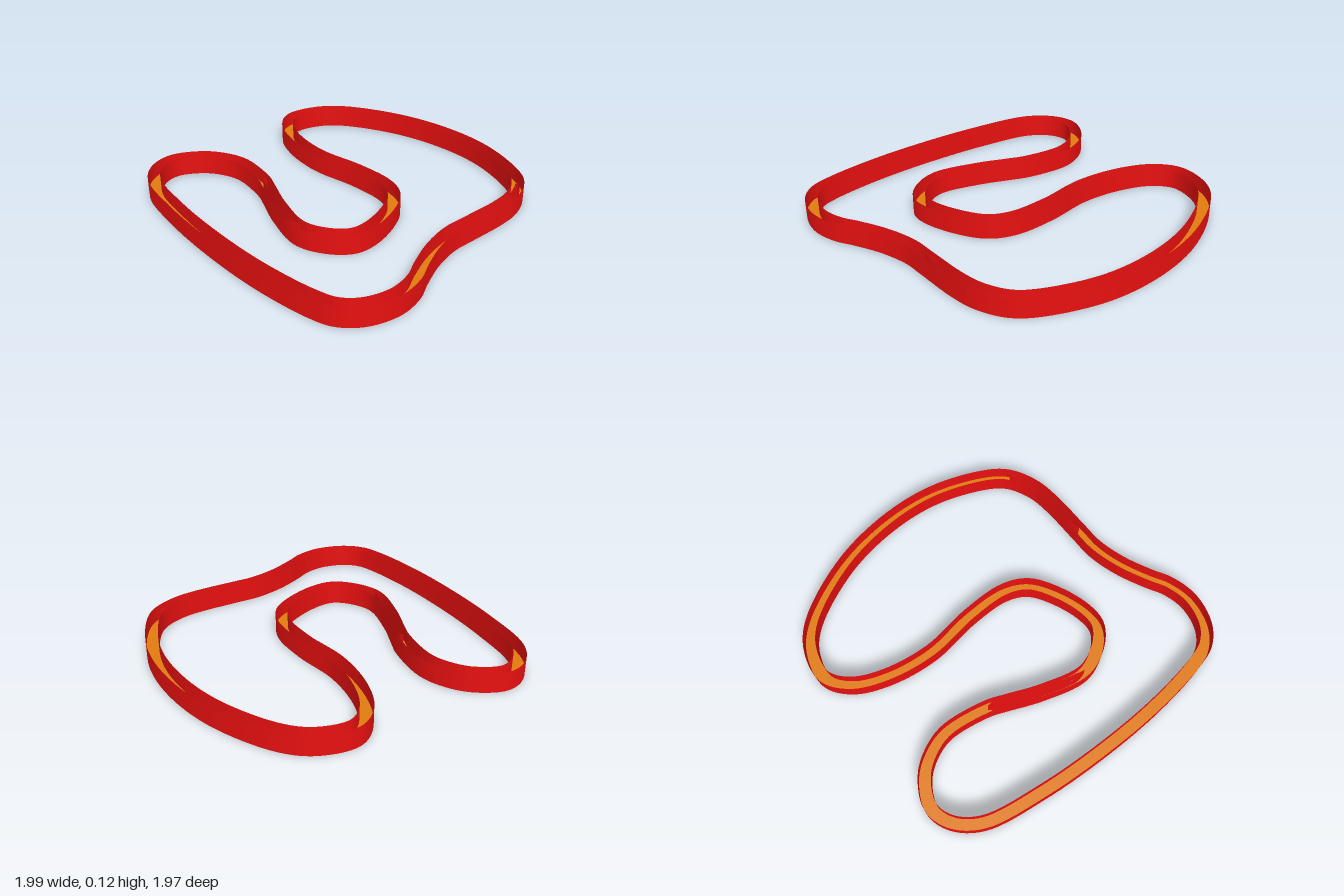
import * as THREE from 'three';

// Centre line of the circuit as x, z pairs
const LINE = [
  -0.04, -0.95, 0.30, -0.91, 0.62, -0.77, 0.72, -0.68, 0.785, -0.53, 0.80, -0.38, 0.79, -0.13,
  0.785, 0.02, 0.82, 0.20, 0.885, 0.37, 0.94, 0.49, 0.96, 0.64, 0.91, 0.80, 0.82, 0.89,
  0.70, 0.925, 0.37, 0.95, -0.02, 0.935, -0.45, 0.88, -0.80, 0.79, -0.93, 0.67, -0.96, 0.54,
  -0.87, 0.385, -0.74, 0.305, -0.61, 0.28, -0.36, 0.33, -0.26, 0.375, -0.07, 0.465, 0.19, 0.54,
  0.35, 0.485, 0.44, 0.39, 0.45, 0.27, 0.395, 0.075, 0.31, -0.065, 0.18, -0.135, -0.07, -0.155,
  -0.38, -0.135, -0.66, -0.19, -0.85, -0.29, -0.935, -0.42, -0.89, -0.61, -0.77, -0.74, -0.41, -0.90,
];
const COUNT = LINE.length / 2;
const STEPS = 8; // samples per control point
const HALF = 0.036, GAP = 0.0135, HEIGHT = 0.117, ROAD_Y = 0.025;
const SPLITS = [[3, 6], [24, 27]]; // where the road forks into two lanes

const points = [];
for (let i = 0; i < COUNT; i++) points.push(new THREE.Vector3(LINE[2 * i], 0, LINE[2 * i + 1]));
const curve = new THREE.CatmullRomCurve3(points, true, 'centripetal');

// Half-width of the opening between the lanes at control position s
function gapAt(s) {
  for (const [a, b] of SPLITS) {
    if (s > a && s < b) return GAP * Math.min(1, (s - a) * 4, (b - s) * 4);
  }
  return 0;
}

// Point at control position s, moved sideways and up
function place(s, offset, y) {
  const t = (s / COUNT) % 1;
  const p = curve.getPoint(t), d = curve.getTangent(t);
  return [p.x - d.z * offset, y, p.z + d.x * offset];
}

// Strip between two edges, each given as a function of s
function strip(edgeA, edgeB, from, to) {
  const pos = [], index = [], n = (to - from) * STEPS;
  for (let i = 0; i <= n; i++) {
    const s = from + i / STEPS;
    pos.push(...edgeA(s), ...edgeB(s));
    if (i < n) index.push(2 * i, 2 * i + 1, 2 * i + 2, 2 * i + 1, 2 * i + 3, 2 * i + 2);
  }
  const geo = new THREE.BufferGeometry();
  geo.setAttribute('position', new THREE.Float32BufferAttribute(pos, 3));
  geo.setIndex(index);
  geo.computeVertexNormals();
  return geo;
}

export function createModel() {
  const model = new THREE.Group();
  model.name = 'raceCircuit';
  const red = new THREE.MeshStandardMaterial({ color: 0xe81010, side: THREE.DoubleSide });
  const orange = new THREE.MeshStandardMaterial({ color: 0xe07b10, side: THREE.DoubleSide });

  const add = (name, geo, mat) => {
    const mesh = new THREE.Mesh(geo, mat);
    mesh.name = name;
    model.add(mesh);
  };
  const wall = (name, offset, from, to) =>
    add(name, strip((s) => place(s, offset(s), 0), (s) => place(s, offset(s), HEIGHT), from, to), red);

  for (const side of [1, -1]) {
    const label = side > 0 ? 'inner' : 'outer';
    // Road surface: one lane per side, parting at the forks
    const near = (s) => place(s, side * gapAt(s), ROAD_Y);
    const far = (s) => place(s, side * HALF, ROAD_Y);
    add(label + 'Lane', side > 0 ? strip(far, near, 0, COUNT) : strip(near, far, 0, COUNT), orange);
    // Barrier along the edge
    wall(label + 'Barrier', () => side * HALF, 0, COUNT);
    // Barriers around the openings at the forks
    SPLITS.forEach(([a, b], i) => wall(label + 'ForkBarrier' + (i + 1), (s) => side * gapAt(s), a, b));
  }
  return model;
}
